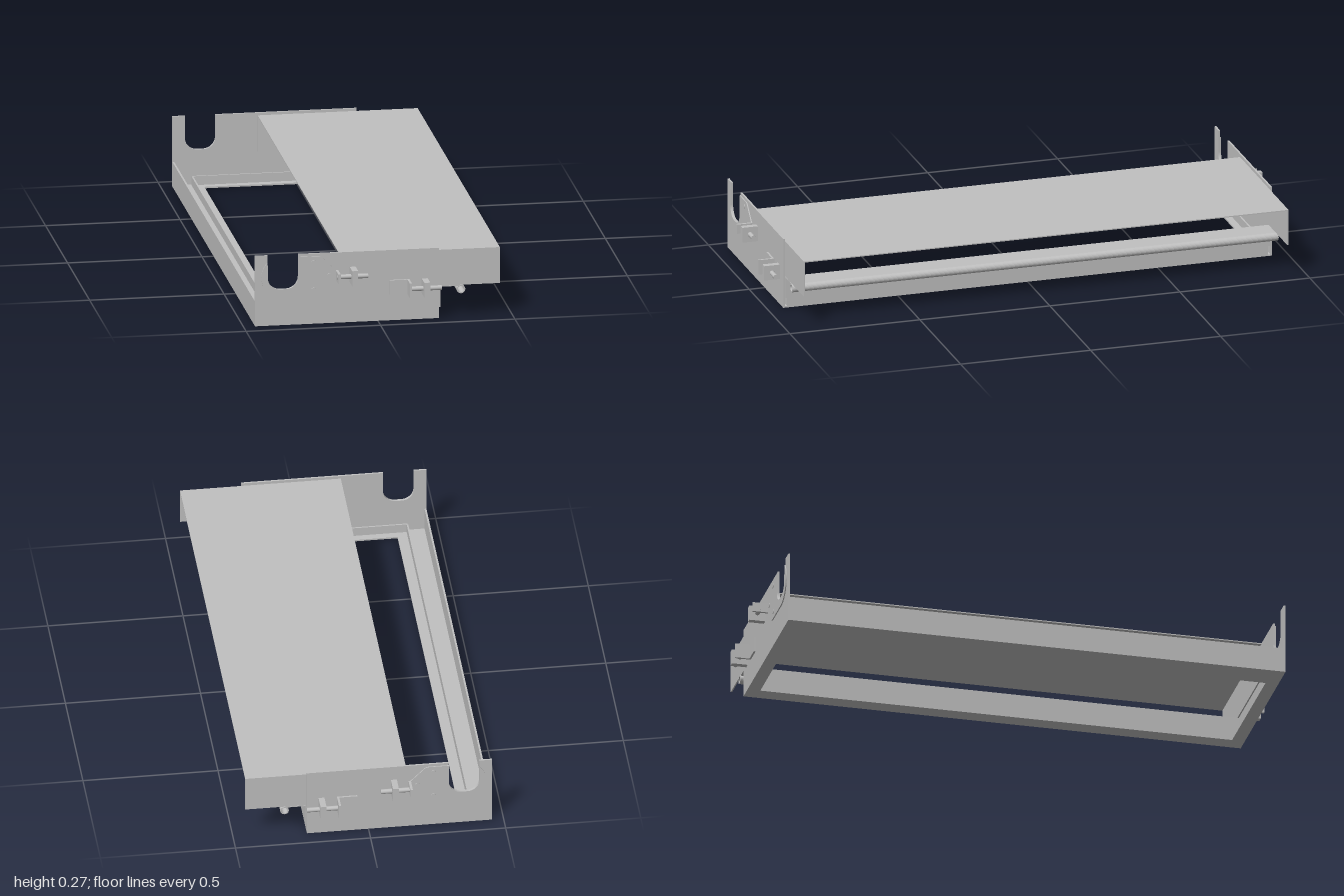
import * as THREE from 'three';

const steel = new THREE.MeshStandardMaterial({ color: 0xc0c0c0 });
steel.name = 'plain steel';

function add(parent, name, geometry) {
  const mesh = new THREE.Mesh(geometry, steel);
  mesh.name = name;
  parent.add(mesh);
  return mesh;
}

// Box given by its limits on each axis
function block(parent, name, x0, x1, y0, y1, z0, z1) {
  const m = add(parent, name, new THREE.BoxGeometry(x1 - x0, y1 - y0, z1 - z0));
  m.position.set((x0 + x1) / 2, (y0 + y1) / 2, (z0 + z1) / 2);
  return m;
}

function sheet(parent, name, shape, z, depth) {
  const g = new THREE.ExtrudeGeometry(shape, { depth, bevelEnabled: false, curveSegments: 12 });
  const m = add(parent, name, g);
  m.position.z = z;
  return m;
}

// Cylinder along x (or z) for bolts and rivets
function rod(parent, name, x, y, z, r, length, axis, sides = 12) {
  const g = new THREE.CylinderGeometry(r, r, length, sides);
  if (axis === 'x') g.rotateZ(Math.PI / 2);
  else g.rotateX(Math.PI / 2);
  const m = add(parent, name, g);
  m.position.set(x, y, z);
  return m;
}

// End plate with an open, round-cornered slot
function endPlateShape() {
  const s = new THREE.Shape();
  s.moveTo(-0.457, 0);
  s.lineTo(0.228, 0);
  s.lineTo(0.228, 0.268);
  s.lineTo(-0.297, 0.268);
  s.lineTo(-0.297, 0.183);
  s.absarc(-0.342, 0.183, 0.045, 0, -Math.PI / 2, true);
  s.absarc(-0.365, 0.183, 0.045, -Math.PI / 2, -Math.PI, true);
  s.lineTo(-0.41, 0.268);
  s.lineTo(-0.457, 0.268);
  return s;
}

// Reinforcing hook plate wrapped around the slot
function hookShape() {
  const s = new THREE.Shape();
  s.moveTo(-0.41, 0.24);
  s.absarc(-0.353, 0.185, 0.081, 2.36, Math.PI * 1.5, false);
  s.lineTo(-0.23, 0.104);
  s.quadraticCurveTo(-0.215, 0.104, -0.205, 0.114);
  s.lineTo(-0.155, 0.168);
  s.lineTo(-0.155, 0.2);
  s.lineTo(-0.205, 0.25);
  s.quadraticCurveTo(-0.214, 0.258, -0.225, 0.258);
  s.lineTo(-0.297, 0.258);
  s.lineTo(-0.297, 0.183);
  s.absarc(-0.342, 0.183, 0.045, 0, -Math.PI / 2, true);
  s.absarc(-0.365, 0.183, 0.045, -Math.PI / 2, -Math.PI, true);
  return s;
}

// Everything at the +z end; the other end is its mirror image
function buildEnd(side) {
  const end = new THREE.Group();
  end.name = side + 'End';

  sheet(end, 'endPlate', endPlateShape(), 0.933, 0.007);
  sheet(end, 'hookPlate', hookShape(), 0.94, 0.004);
  for (const [x, y] of [[-0.24, 0.235], [-0.24, 0.13], [-0.18, 0.183]]) {
    rod(end, 'rivet', x, y, 0.944, 0.009, 0.004, 'z', 16);
  }

  // Slot adjuster: stop tab, fixed lug and screw
  block(end, 'stopTab', -0.157, -0.148, 0.165, 0.201, 0.94, 1);
  block(end, 'adjusterLug', -0.105, -0.083, 0.153, 0.211, 0.94, 1);
  rod(end, 'adjusterScrew', -0.1, 0.183, 0.97, 0.009, 0.116, 'x');

  // Cover adjuster: pad, tab, fixed lug and screw
  block(end, 'adjusterPad', 0.042, 0.117, 0.098, 0.154, 0.94, 0.947);
  block(end, 'padTab', 0.109, 0.117, 0.098, 0.154, 0.94, 1);
  block(end, 'adjusterLug', 0.163, 0.185, 0.098, 0.154, 0.94, 1);
  rod(end, 'adjusterScrew', 0.171, 0.125, 0.97, 0.009, 0.122, 'x');

  // Cover skirt and the lower angle along the end
  block(end, 'coverSkirt', -0.14, 0.455, 0.121, 0.258, 0.927, 0.932);
  block(end, 'lowerAngleWall', -0.385, 0.225, 0.004, 0.04, 0.919, 0.925);
  block(end, 'lowerAngleFlange', -0.457, 0.228, 0, 0.006, 0.892, 0.933);
  return end;
}

export function createModel() {
  const model = new THREE.Group();
  model.name = 'coveredFrame';

  // Both ends, the second turned by mirroring its vertices
  model.add(buildEnd('front'));
  const back = buildEnd('back');
  for (const m of back.children) {
    m.updateMatrix();
    const g = m.geometry.index ? m.geometry.toNonIndexed() : m.geometry;
    g.applyMatrix4(m.matrix);
    g.scale(1, 1, -1);
    m.position.set(0, 0, 0);
    // Swap two corners of each triangle to keep it facing outward
    for (const attr of [g.attributes.position, g.attributes.normal]) {
      const a = new THREE.Vector3(), b = new THREE.Vector3();
      for (let i = 0; i < attr.count; i += 3) {
        a.fromBufferAttribute(attr, i + 1);
        b.fromBufferAttribute(attr, i + 2);
        attr.setXYZ(i + 1, b.x, b.y, b.z);
        attr.setXYZ(i + 2, a.x, a.y, a.z);
      }
    }
    m.geometry = g;
  }
  model.add(back);

  // Cover
  block(model, 'coverTop', -0.14, 0.455, 0.254, 0.258, -0.932, 0.932);

  // Rear rail: wall, flange and upright lip
  block(model, 'rearWall', -0.457, -0.45, 0, 0.094, -0.933, 0.933);
  block(model, 'rearFlange', -0.45, -0.345, 0, 0.006, -0.892, 0.892);
  block(model, 'rearLip', -0.388, -0.382, 0.006, 0.04, -0.919, 0.919);

  // Front rail: stepped wall, flange and shelf ending in a rolled edge
  block(model, 'frontWallLower', 0.222, 0.228, 0, 0.04, -0.925, 0.925);
  block(model, 'frontWallUpper', 0.226, 0.233, 0.04, 0.121, -0.933, 0.933);
  block(model, 'frontFlange', 0.165, 0.222, 0, 0.006, -0.892, 0.892);
  block(model, 'frontShelf', 0.226, 0.31, 0.117, 0.121, -0.933, 0.933);

  const ring = new THREE.Shape();
  ring.absarc(0.31, 0.105, 0.016, 0, Math.PI * 2, false);
  const bore = new THREE.Path();
  bore.absarc(0.31, 0.105, 0.012, 0, Math.PI * 2, true);
  ring.holes.push(bore);
  sheet(model, 'rolledEdge', ring, -0.935, 1.87);

  return model;
}
